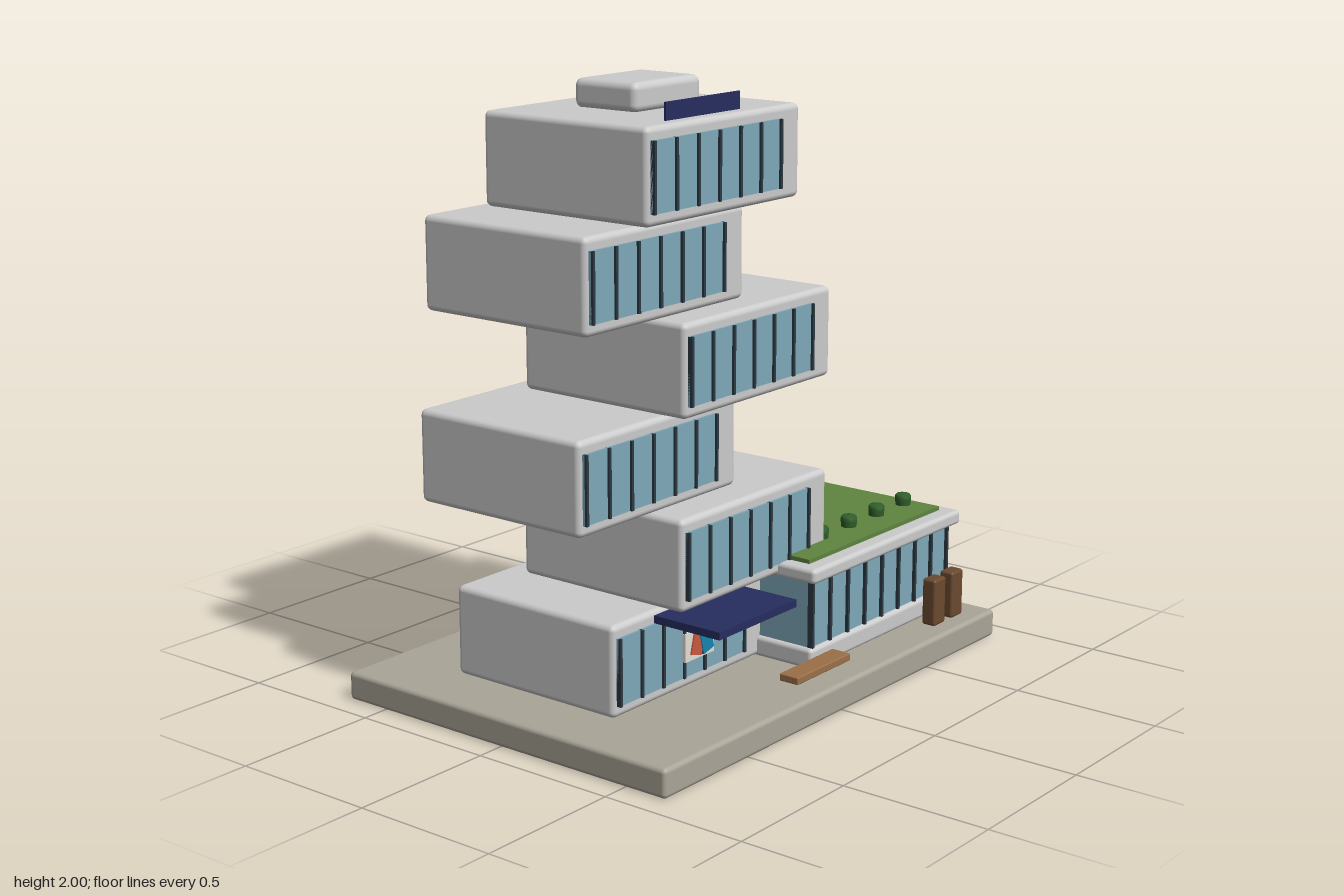
import * as THREE from 'three';
import { RoundedBoxGeometry } from 'three/addons/geometries/RoundedBoxGeometry.js';

const mat = (color) => new THREE.MeshStandardMaterial({ color });
const M = {
  grey: mat(0xcccccc), stone: mat(0xaaa598), glass: mat(0x7fa9ba), frame: mat(0x2c3a42),
  navy: mat(0x262d5e), grass: mat(0x5f8440), bush: mat(0x2f5f2a), wood: mat(0x9a7048),
  brown: mat(0x6b4a30), white: mat(0xe4e0d6), red: mat(0xc8583f), blue: mat(0x1485b0),
};

// Box given by its extents on each axis; r > 0 rounds the edges.
function box(parent, name, material, [x0, x1], [y0, y1], [z0, z1], r = 0) {
  const s = [x1 - x0, y1 - y0, z1 - z0];
  const geo = r ? new RoundedBoxGeometry(...s, 3, r) : new THREE.BoxGeometry(...s);
  const mesh = new THREE.Mesh(geo, material);
  mesh.name = name;
  mesh.position.set((x0 + x1) / 2, (y0 + y1) / 2, (z0 + z1) / 2);
  parent.add(mesh);
  return mesh;
}

// Evenly spaced upright bars across a front window.
function mullions(parent, x0, x1, panes, y, z) {
  for (let i = 0; i <= panes; i++) {
    const x = x0 + ((x1 - x0) * i) / panes;
    box(parent, 'mullion', M.frame, [x - 0.005, x + 0.005], y, z);
  }
}

// One stacked storey: rounded shell, front window band and window on its left end.
function storey(x, y, zBack) {
  const g = new THREE.Group();
  g.name = 'storey';
  const w = 0.765, h = 0.3, d = 0.655, zf = zBack + d, zc = zBack + d / 2;
  box(g, 'shell', M.grey, [x, x + w], [y, y + h], [zBack, zf], 0.02);
  const wx = [x + 0.016, x + 0.654], wy = [y + 0.04, y + 0.26];
  box(g, 'frontWindow', M.glass, wx, wy, [zf - 0.01, zf + 0.008]);
  mullions(g, wx[0] + 0.005, wx[1] - 0.005, 6, wy, [zf - 0.01, zf + 0.016]);
  box(g, 'endWindow', M.glass, [x + w - 0.01, x + w + 0.01], [y + 0.072, y + 0.227], [zc - 0.231, zc + 0.231]);
  return g;
}

// Low pavilion with glass walls and a planted roof.
function pavilion() {
  const g = new THREE.Group();
  g.name = 'pavilion';
  box(g, 'plinth', M.grey, [0.02, 0.857], [0.095, 0.165], [-0.22, 0.51], 0.015);
  box(g, 'glassHall', M.glass, [0.035, 0.84], [0.16, 0.395], [-0.2, 0.495]);
  mullions(g, 0.038, 0.838, 8, [0.165, 0.395], [0.485, 0.506]);
  box(g, 'roofSlab', M.grey, [0.003, 0.877], [0.392, 0.442], [-0.242, 0.532], 0.015);
  box(g, 'lawn', M.grass, [0.052, 0.825], [0.435, 0.456], [-0.19, 0.475]);
  const profile = [[0.026, 0], [0.028, 0.02], [0.028, 0.032], [0.023, 0.039], [0, 0.041]];
  const bushGeo = new THREE.LatheGeometry(profile.map((p) => new THREE.Vector2(...p)), 16);
  for (const z of [-0.043, 0.363]) {
    for (let i = 0; i < 5; i++) {
      const bush = new THREE.Mesh(bushGeo, M.bush);
      bush.name = 'bush';
      bush.position.set(0.108 + i * 0.165, 0.455, z);
      g.add(bush);
    }
  }
  return g;
}

export function createModel() {
  const root = new THREE.Group();
  root.name = 'building';
  box(root, 'base', M.stone, [-0.915, 0.915], [0, 0.095], [-0.657, 0.657], 0.015);

  // Tower of six shifted storeys: left edge x and back edge z
  const shifts = [[-0.713, -0.363], [-0.495, -0.268], [-0.843, -0.38], [-0.457, -0.288], [-0.806, -0.38], [-0.588, -0.325]];
  shifts.forEach(([x, z], i) => root.add(storey(x, 0.097 + i * 0.3025, z)));
  root.add(pavilion());

  // Rooftop
  box(root, 'roofUnit', M.grey, [-0.35, -0.02], [1.905, 2], [-0.163, 0.09], 0.025);
  box(root, 'roofPanel', M.navy, [-0.44, -0.077], [1.91, 1.966], [0.274, 0.282]);

  // Entrance awning and poster
  box(root, 'awning', M.navy, [-0.515, -0.115], [0.357, 0.382], [0.285, 0.547]);
  box(root, 'poster', M.white, [-0.385, -0.24], [0.193, 0.287], [0.295, 0.313]);
  const red = box(root, 'posterCard', M.red, [-0.354, -0.3], [0.206, 0.274], [0.31, 0.318]);
  red.rotation.z = -0.25;
  const blue = box(root, 'posterCard', M.blue, [-0.31, -0.256], [0.206, 0.274], [0.312, 0.321]);
  blue.rotation.z = 0.25;

  // Street furniture
  box(root, 'bench', M.wood, [-0.185, 0.107], [0.127, 0.152], [0.533, 0.605], 0.004);
  for (const x of [0.624, 0.733]) {
    box(root, 'bin', M.brown, [x, x + 0.07], [0.095, 0.26], [0.542, 0.595], 0.01);
  }
  return root;
}
